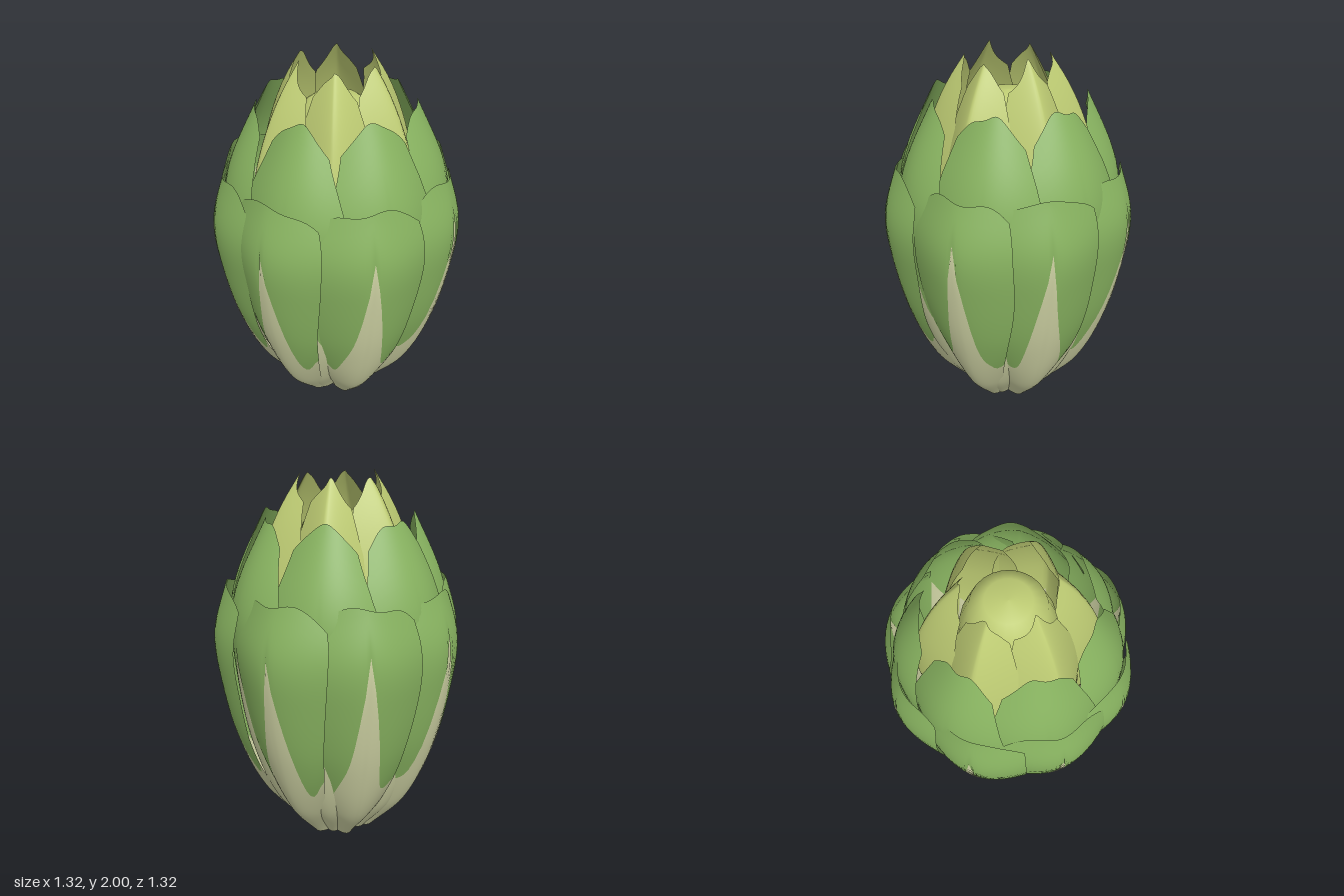
import * as THREE from 'three';

const mat = (name, color) => {
  const m = new THREE.MeshStandardMaterial({ color, side: THREE.DoubleSide });
  m.name = name;
  return m;
};

// smooth lookup through [y, value] pairs
function lookup(table, y) {
  const n = table.length - 1;
  const slope = i => {
    const a = table[Math.max(0, i - 1)], b = table[Math.min(n, i + 1)];
    return (b[1] - a[1]) / (b[0] - a[0]);
  };
  let i = 0;
  while (i < n - 1 && y > table[i + 1][0]) i++;
  const [y0, a] = table[i], [y1, b] = table[i + 1];
  const h = y1 - y0, t = THREE.MathUtils.clamp((y - y0) / h, 0, 1), s = 1 - t;
  return s * s * (1 + 2 * t) * a + t * t * (3 - 2 * t) * b + h * t * s * (s * slope(i) - t * slope(i + 1));
}

// A cupped leaf: u runs across, rows run from the base to the rib line to the tip.
// radius/width are tables over height; ribLine(u) divides the two colours.
function leafGeometry({ radius, width, cup, cupPower, tilt, top, ribLine, seed }) {
  const cols = 24, low = 24, high = 20, rows = low + high;
  const pos = [], index = [];
  for (let j = 0; j <= rows; j++) {
    for (let i = 0; i <= cols; i++) {
      const u = i / cols * 2 - 1;
      const tip = top(u) + 0.012 * Math.sin(u * 5 + seed * 2.3);
      const rib = Math.min(ribLine(u) + 0.03 * Math.sin(u * 9 + seed), tip - 0.05);
      const y = j <= low ? rib * j / low : rib + (tip - rib) * (j - low) / high;
      const w = lookup(width, y) * (1 + 0.03 * Math.sin(y * 7 + seed));
      const gutter = cup + 0.7 * Math.max(0, 1 - y / 0.7) ** 2; // stalks fold more near the base
      const z = lookup(radius, y) - w * gutter * Math.abs(u) ** cupPower + tilt * u * Math.min(1, y * 2);
      pos.push(u * w, y, z);
      if (i < cols && j < rows) {
        const a = j * (cols + 1) + i, b = a + cols + 1;
        // cut each cell along its shorter diagonal
        if (i < cols / 2) index.push(a, a + 1, b, a + 1, b + 1, b);
        else index.push(a, a + 1, b + 1, a, b + 1, b);
      }
    }
  }
  const g = new THREE.BufferGeometry();
  g.setAttribute('position', new THREE.Float32BufferAttribute(pos, 3));
  g.setIndex(index);
  g.addGroup(0, low * cols * 6, 0);
  g.addGroup(low * cols * 6, high * cols * 6, 1);
  g.computeVertexNormals();
  return g;
}

// pale rib: tall spike in the middle, lowest near the sides, rising again at the rim
const spike = (peak, side, rim) => u => {
  const a = Math.abs(u);
  return side + (peak - side) * Math.max(0, 1 - a / 0.85) ** 2.3 + rim * Math.max(0, a - 0.8) / 0.2;
};

export function createModel() {
  const model = new THREE.Group();
  const cream = mat('cream rib', 0xcfd3a4);
  const green = mat('leaf green', 0x88b360);
  const yellow = mat('heart yellow', 0xbfcd74);

  const layers = [
    {
      name: 'outerLeaf', blade: green,
      angles: [-2, 48, 90, 140, 184, 228, 270, 309],
      radius: [[0, 0.225], [0.25, 0.43], [0.6, 0.57], [0.95, 0.64], [1.2, 0.655], [1.46, 0.58]],
      width: [[0, 0.055], [0.3, 0.14], [0.6, 0.215], [0.95, 0.265], [1.25, 0.27], [1.46, 0.22]],
      cup: 0.42, cupPower: 1.8, tilt: 0.02,
      top: u => 1.45 - 0.09 * u ** 4, ribLine: spike(1.23, 0.42, 0.08),
    },
    {
      name: 'middleLeaf', blade: green,
      angles: [8, 59.5, 111, 162, 214, 265, 317],
      radius: [[0, 0.2], [0.25, 0.39], [0.6, 0.515], [1, 0.575], [1.3, 0.585], [1.5, 0.535], [1.8, 0.39]],
      width: [[0, 0.055], [0.3, 0.16], [0.6, 0.24], [1, 0.29], [1.3, 0.285], [1.5, 0.225], [1.6, 0.185], [1.8, 0.11]],
      cup: 0.42, cupPower: 2, tilt: 0.015,
      top: u => 1.79 - 0.12 * Math.abs(u) ** 3, ribLine: spike(1.2, 0.62, 0),
    },
    {
      name: 'heartLeaf', blade: yellow,
      angles: [40, 100, 160, 220, 280, 340],
      radius: [[0, 0.17], [0.3, 0.35], [0.6, 0.44], [1, 0.49], [1.3, 0.475], [1.5, 0.435], [1.7, 0.365], [1.85, 0.29], [2, 0.19]],
      width: [[0, 0.05], [0.3, 0.14], [0.6, 0.2], [1.2, 0.25], [1.5, 0.21], [1.7, 0.155], [1.85, 0.105], [2, 0.05]],
      cup: 0.85, cupPower: 1.3, tilt: 0.01,
      top: u => 1.985 - 0.13 * Math.abs(u) ** 1.3, ribLine: spike(1, 0.7, 0),
    },
  ];

  layers.forEach((layer, k) => {
    const ring = new THREE.Group();
    ring.name = layer.name + 'Ring';
    layer.angles.forEach((deg, i) => {
      const leaf = new THREE.Mesh(leafGeometry({ ...layer, seed: i * 1.7 + k }), [cream, layer.blade]);
      leaf.name = layer.name;
      leaf.rotation.y = THREE.MathUtils.degToRad(deg);
      ring.add(leaf);
    });
    model.add(ring);
  });

  // solid core that closes the middle of the head
  const lathe = (name, pts, material) => {
    const mesh = new THREE.Mesh(new THREE.LatheGeometry(pts.map(p => new THREE.Vector2(...p)), 24), material);
    mesh.name = name;
    model.add(mesh);
  };
  lathe('stemCore', [[0, 0.2], [0.14, 0.18], [0.24, 0.4], [0.27, 0.8]], cream);
  lathe('heartCore', [[0.27, 0.8], [0.27, 1.3], [0.23, 1.58], [0.18, 1.74], [0.11, 1.79], [0, 1.8]], yellow);

  return model;
}
